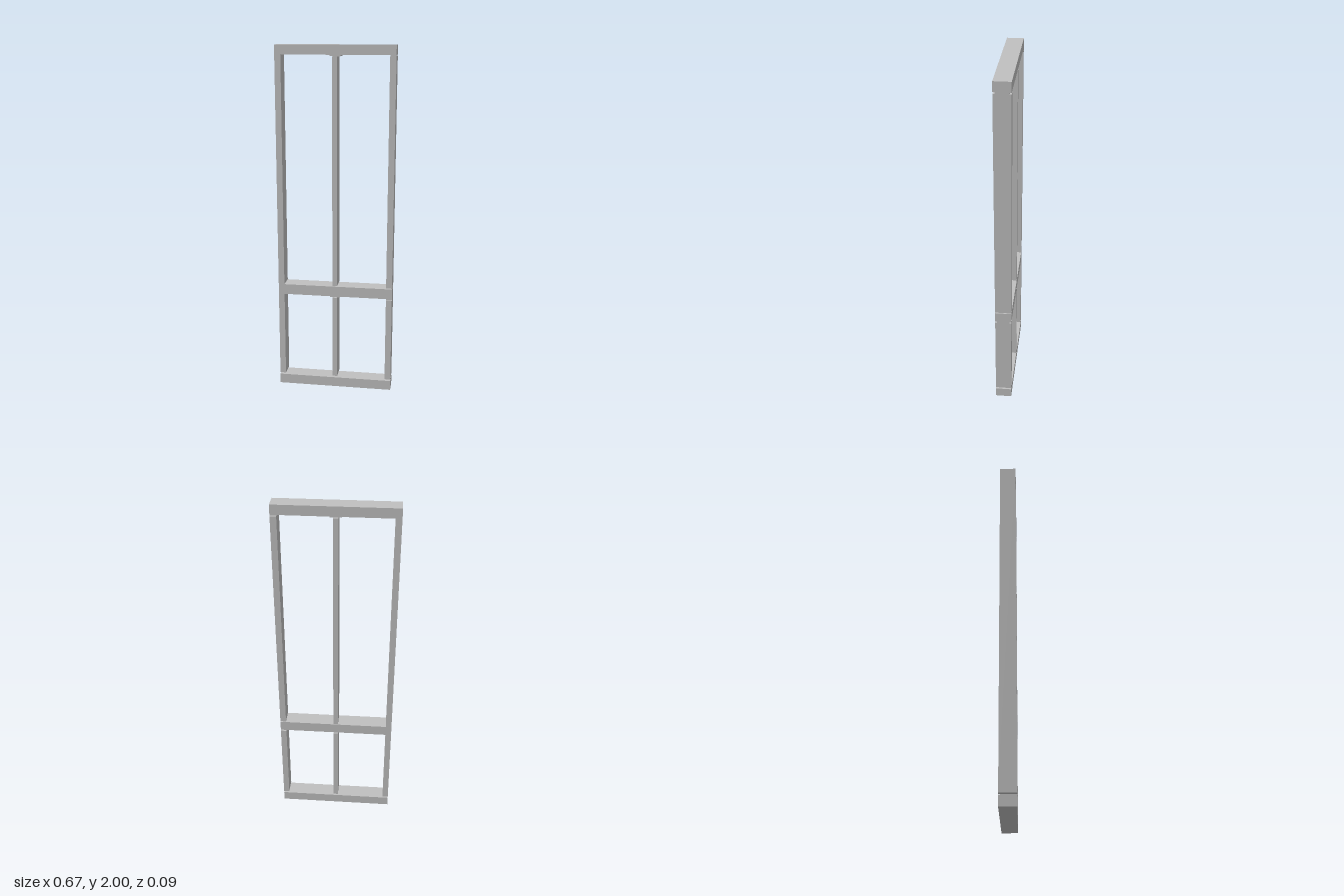
import * as THREE from 'three';

export function createModel() {
  const model = new THREE.Group();
  model.name = 'panelFrame';
  const grey = new THREE.MeshStandardMaterial({ color: 0xc0c0c0 });
  grey.name = 'light grey';

  const X = 0.333, Z = 0.046;      // outer half sizes
  const POST = 0.034;              // side post width
  const GROOVE_Z = 0.036, GROOVE_DEPTH = 0.02;

  function box(name, x0, x1, y0, y1, halfZ) {
    const mesh = new THREE.Mesh(new THREE.BoxGeometry(x1 - x0, y1 - y0, halfZ * 2), grey);
    mesh.position.set((x0 + x1) / 2, (y0 + y1) / 2, 0);
    mesh.name = name;
    model.add(mesh);
  }

  // Rail with a groove along its underside, butting against the long post
  function groovedRail(name, y0, y1) {
    const section = new THREE.Shape([
      [-Z, y0], [-GROOVE_Z, y0], [-GROOVE_Z, y0 + GROOVE_DEPTH], [GROOVE_Z, y0 + GROOVE_DEPTH],
      [GROOVE_Z, y0], [Z, y0], [Z, y1], [-Z, y1],
    ].map(([z, y]) => new THREE.Vector2(z, y)));
    const x0 = -X + POST;
    const geo = new THREE.ExtrudeGeometry(section, { depth: X - x0, bevelEnabled: false });
    geo.rotateY(Math.PI / 2).translate(x0, 0, 0);
    const mesh = new THREE.Mesh(geo, grey);
    mesh.name = name;
    model.add(mesh);
  }

  box('bottomRail', -X, X, 0, 0.057, Z);
  groovedRail('middleRail', 0.571, 0.631);
  groovedRail('topRail', 1.946, 2);

  // One continuous post on the right side
  box('longPost', -X, -X + POST, 0.067, 2, Z);

  // Shorter posts, with a plug on top that sits in the rail groove
  const bays = [['lower', 0.067, 0.571], ['upper', 0.636, 1.946]];
  for (const [bay, y0, railY] of bays) {
    const top = railY - 0.008;
    box(bay + 'CentrePost', -0.014, 0.014, y0, top, Z);
    box(bay + 'CentrePlug', -0.03, 0.03, top, railY + GROOVE_DEPTH, GROOVE_Z);
    box(bay + 'LeftPost', X - POST, X, y0, top, Z);
    box(bay + 'LeftPlug', X - POST, X, top, railY + GROOVE_DEPTH, GROOVE_Z);
  }
  return model;
}
